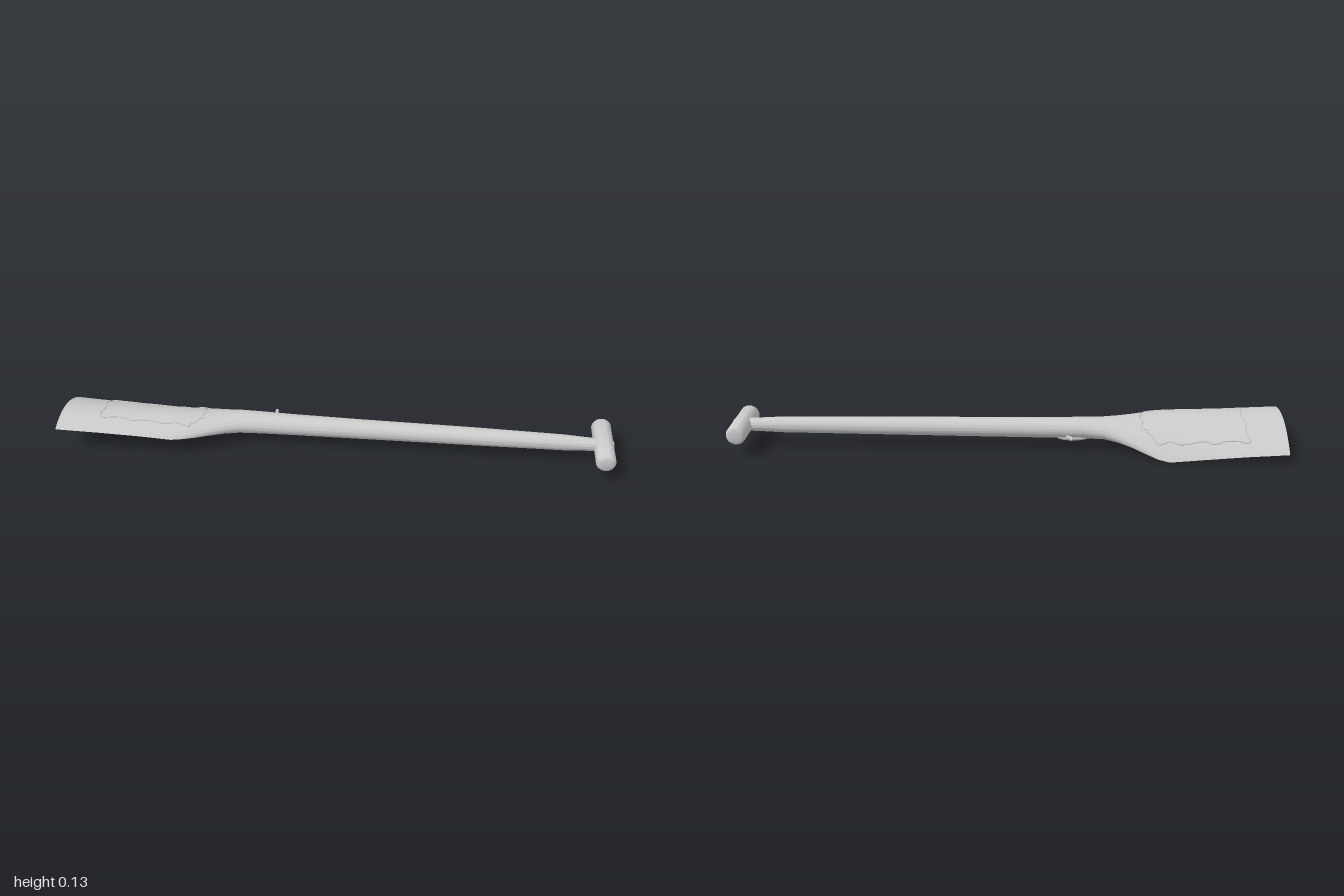
import * as THREE from 'three';
import { toCreasedNormals } from 'three/addons/utils/BufferGeometryUtils.js';

const SIDES = 48;

// Stations along x: [x, z centre, half width, edge mid height, sideways tilt, arch, half thickness]
const STATIONS = [
  [-1.0, -0.003, 0.148, 0.07, 0.035, 0.045, 0.005],
  [-0.85, -0.005, 0.144, 0.062, 0.037, 0.052, 0.005],
  [-0.7, -0.008, 0.141, 0.052, 0.039, 0.06, 0.005],
  [-0.58, -0.01, 0.14, 0.043, 0.04, 0.067, 0.007],
  [-0.54, -0.011, 0.13, 0.046, 0.036, 0.053, 0.017],
  [-0.5, -0.012, 0.114, 0.053, 0.028, 0.033, 0.029],
  [-0.45, -0.013, 0.091, 0.063, 0.018, 0.018, 0.034],
  [-0.4, -0.014, 0.071, 0.072, 0.01, 0.008, 0.036],
  [-0.35, -0.015, 0.055, 0.079, 0.003, 0.002, 0.037],
  [-0.28, -0.015, 0.046, 0.081, 0, 0, 0.038],
  [-0.15, -0.015, 0.041, 0.081, 0, 0, 0.037],
  [0.1, -0.015, 0.037, 0.082, 0, 0, 0.035],
  [0.5, -0.015, 0.034, 0.085, 0, 0, 0.032],
  [0.82, -0.015, 0.028, 0.086, 0, 0, 0.029],
  [0.9, -0.015, 0.024, 0.086, 0, 0, 0.025],
  [0.96, -0.015, 0.023, 0.086, 0, 0, 0.023],
];

// Point on the lofted skin of one station at angle t
function skin([x, zc, hw, mid, tilt, arch, h], t) {
  const s = Math.cos(t);
  return new THREE.Vector3(x, mid + tilt * s + arch * (1 - s * s) + h * Math.sin(t), zc + hw * s);
}

// Station interpolated at any x
function stationAt(x) {
  const i = Math.max(1, STATIONS.findIndex((s) => s[0] >= x));
  const a = STATIONS[i - 1], b = STATIONS[i];
  const k = (x - a[0]) / (b[0] - a[0]);
  return a.map((v, j) => v + (b[j] - v) * k);
}

function bladeAndShaft() {
  const pos = [], index = [];
  for (const st of STATIONS) {
    for (let j = 0; j < SIDES; j++) pos.push(...skin(st, (j / SIDES) * Math.PI * 2).toArray());
  }
  for (let i = 0; i < STATIONS.length - 1; i++) {
    for (let j = 0; j < SIDES; j++) {
      const k = (j + 1) % SIDES, a = i * SIDES, b = a + SIDES;
      index.push(a + j, b + j, b + k, a + j, b + k, a + k);
    }
  }
  // Thin rim closing the blade tip
  for (let j = 0; j < SIDES / 2; j++) {
    const lo = (SIDES - j) % SIDES, lo2 = SIDES - j - 1;
    index.push(j, j + 1, lo, j + 1, lo2, lo);
  }
  const geo = new THREE.BufferGeometry();
  geo.setAttribute('position', new THREE.Float32BufferAttribute(pos, 3));
  geo.setIndex(index);
  return toCreasedNormals(geo, 0.8);
}

// Worn seam lying on the blade; side is 1 for the top, -1 for the underside
function seam(side, corners) {
  const pts = [];
  corners.forEach(([x0, z0], i) => {
    const [x1, z1] = corners[(i + 1) % corners.length];
    for (let k = 0; k < 8; k++) {
      const n = pts.length, f = k / 8;
      const x = x0 + (x1 - x0) * f + 0.005 * Math.sin(n * 1.7);
      const z = z0 + (z1 - z0) * f + 0.005 * Math.sin(n * 2.3 + 1);
      const st = stationAt(x);
      const t = Math.acos(THREE.MathUtils.clamp((z - st[1]) / st[2], -1, 1));
      pts.push(skin(st, side * t));
    }
  });
  return new THREE.TubeGeometry(new THREE.CatmullRomCurve3(pts, true), 160, 0.003, 6, true);
}

export function createModel() {
  const group = new THREE.Group();
  const material = new THREE.MeshStandardMaterial({ color: 0xcccccc });
  const add = (name, geo, x = 0, y = 0, z = 0) => {
    const mesh = new THREE.Mesh(geo, material);
    mesh.name = name;
    mesh.position.set(x, y, z);
    group.add(mesh);
    return mesh;
  };

  add('bladeAndShaft', bladeAndShaft());
  add('topSeam', seam(1, [[-0.85, 0.07], [-0.53, 0.075], [-0.48, 0.03], [-0.49, -0.06], [-0.54, -0.105], [-0.86, -0.105]]));
  add('undersideSeam', seam(-1, [[-0.85, 0.07], [-0.6, 0.075], [-0.6, -0.1], [-0.86, -0.105]]));

  // Cross grip with rounded ends, lying along z
  const profile = [[0, 0], [0.022, 0.001], [0.031, 0.004], [0.035, 0.012], [0.035, 0.222], [0.031, 0.23], [0.022, 0.234], [0, 0.235]]
    .map(([r, l]) => new THREE.Vector2(r, l));
  const grip = toCreasedNormals(new THREE.LatheGeometry(profile, 32), 0.8);
  add('crossGrip', grip.rotateX(Math.PI / 2), 0.963, 0.086, -0.136);

  // Shaft end showing through the grip
  add('shaftPeg', new THREE.SphereGeometry(0.02, 20, 12).scale(0.3, 1, 1), 0.994, 0.085, -0.013);

  // Small side hook with a swelling under the shaft
  const hookPath = new THREE.CatmullRomCurve3([
    new THREE.Vector3(-0.22, 0.06, -0.035),
    new THREE.Vector3(-0.222, 0.062, -0.065),
    new THREE.Vector3(-0.23, 0.068, -0.085),
    new THREE.Vector3(-0.231, 0.072, -0.108),
  ]);
  add('sideHook', new THREE.TubeGeometry(hookPath, 16, 0.006, 8));
  add('hookTip', new THREE.SphereGeometry(0.006, 10, 8), -0.231, 0.072, -0.108);
  add('hookMount', new THREE.SphereGeometry(1, 20, 12).scale(0.06, 0.012, 0.02), -0.24, 0.05, -0.03);
  return group;
}
